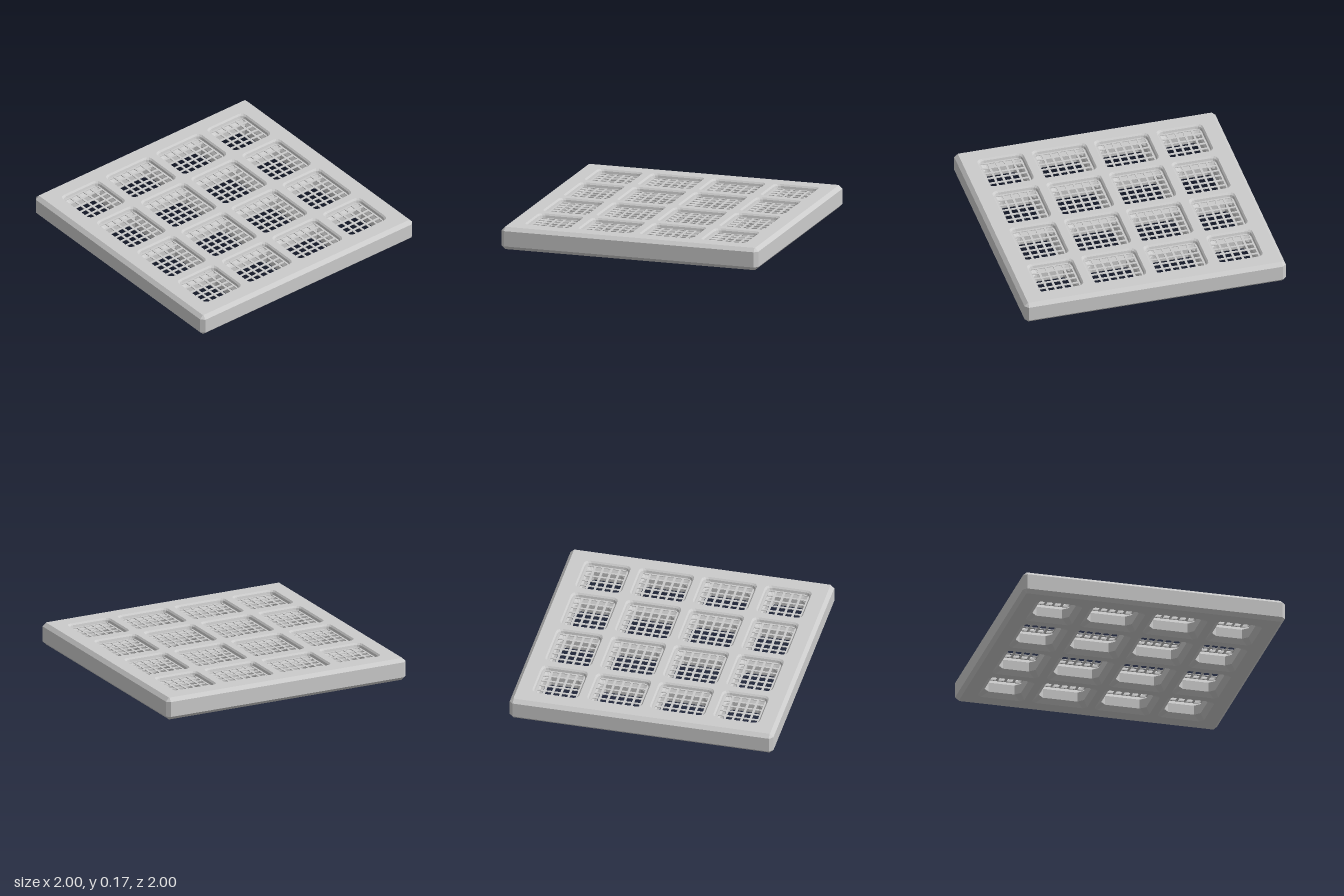
import * as THREE from 'three';

const H = 0.17;            // plate thickness
const BEVEL = 0.027;       // outer edge chamfer
const MESH_Y = 0.137;      // height of the wire mesh
const SEG = 3;             // steps per corner

// Loop of [x, z] around a rectangle with rounded or straight-cut corners
function outline(cx, cz, hx, hz, c, round) {
  const pts = [];
  [[1, 1], [-1, 1], [-1, -1], [1, -1]].forEach(([sx, sz], q) => {
    for (let i = 0; i <= SEG; i++) {
      const a = (q + i / SEG) * Math.PI / 2;
      let ux = Math.cos(a), uz = Math.sin(a);
      if (!round) {
        const s = Math.abs(ux) + Math.abs(uz);
        ux /= s; uz /= s;
      }
      pts.push([cx + sx * (hx - c) + c * ux, cz + sz * (hz - c) + c * uz]);
    }
  });
  return pts;
}

// Strips between successive loops: bottom to top faces out, top to bottom faces in
function loft(rings) {
  const pos = [];
  for (let r = 0; r < rings.length - 1; r++) {
    const A = rings[r], B = rings[r + 1], n = A.pts.length;
    const at = (R, i) => [R.pts[i % n][0], R.y, R.pts[i % n][1]];
    for (let i = 0; i < n; i++) {
      const a = at(A, i), b = at(A, i + 1), c = at(B, i), d = at(B, i + 1);
      pos.push(...a, ...c, ...b, ...b, ...c, ...d);
    }
  }
  const g = new THREE.BufferGeometry();
  g.setAttribute('position', new THREE.Float32BufferAttribute(pos, 3));
  g.computeVertexNormals();
  return g;
}

export function createModel() {
  const model = new THREE.Group();
  const mat = new THREE.MeshStandardMaterial({ color: 0xcccccc, flatShading: true });
  const add = (geo, name, parent = model) => {
    const m = new THREE.Mesh(geo, mat);
    m.name = name;
    parent.add(m);
    return m;
  };

  // Window layout: centre and half size, the same on both axes
  const spans = [[-0.686, 0.177], [-0.238, 0.21], [0.238, 0.21], [0.686, 0.177]];
  const cells = spans.flatMap(([cx, hx]) => spans.map(([cz, hz]) => ({ cx, cz, hx, hz })));
  const cellLoop = (w, inset, c, round) => outline(w.cx, w.cz, w.hx - inset, w.hz - inset, c, round);

  // Chamfered outer rim
  const rim = (inset, y) => ({ y, pts: outline(0, 0, 1 - inset, 1 - inset, inset ? 0.004 : BEVEL, false) });
  add(loft([rim(BEVEL, 0), rim(0, BEVEL), rim(0, H - BEVEL), rim(BEVEL, H)]), 'plateRim');

  // Flat top and bottom faces with window openings
  const face = (c, round) => {
    const toShape = (pts, Type) => new Type(pts.map(([x, z]) => new THREE.Vector2(x, z)));
    const s = toShape(rim(BEVEL, 0).pts, THREE.Shape);
    s.holes = cells.map((w) => toShape(cellLoop(w, 0, c, round), THREE.Path));
    return new THREE.ShapeGeometry(s);
  };
  add(face(0.04, true).rotateX(-Math.PI / 2).translate(0, H, 0), 'topFace');
  add(face(0.03, false).rotateX(Math.PI / 2), 'bottomFace');

  // Window walls: rounded lip, slope under the mesh, straight throat, flared bottom
  const walls = new THREE.Group();
  walls.name = 'windowWalls';
  model.add(walls);
  for (const w of cells) {
    add(loft([
      { y: H, pts: cellLoop(w, 0, 0.04, true) },
      { y: H - 0.012, pts: cellLoop(w, 0.011, 0.04, true) },
      { y: MESH_Y, pts: cellLoop(w, 0.016, 0.04, true) },
      { y: 0.105, pts: cellLoop(w, 0.038, 0.04, false) },
      { y: 0.032, pts: cellLoop(w, 0.038, 0.04, false) },
      { y: 0, pts: cellLoop(w, 0, 0.03, false) },
    ]), 'windowWall', walls);
  }

  // Thin wire mesh held inside the plate, bars crossing every window
  const mesh = new THREE.Group();
  mesh.name = 'wireMesh';
  model.add(mesh);
  const pitch = 0.0627, bar = 0.017;
  const barX = new THREE.BoxGeometry(1.74, 0.006, bar);
  const barZ = new THREE.BoxGeometry(bar, 0.005, 1.74);
  for (const [c, h] of spans) {
    const n = Math.floor((2 * h - 0.03) / pitch);
    for (let i = 0; i <= n; i++) {
      const p = c + (i - n / 2) * pitch;
      add(barX, 'crossBar', mesh).position.set(0, MESH_Y, p);
      add(barZ, 'longBar', mesh).position.set(p, MESH_Y, 0);
    }
  }
  return model;
}
